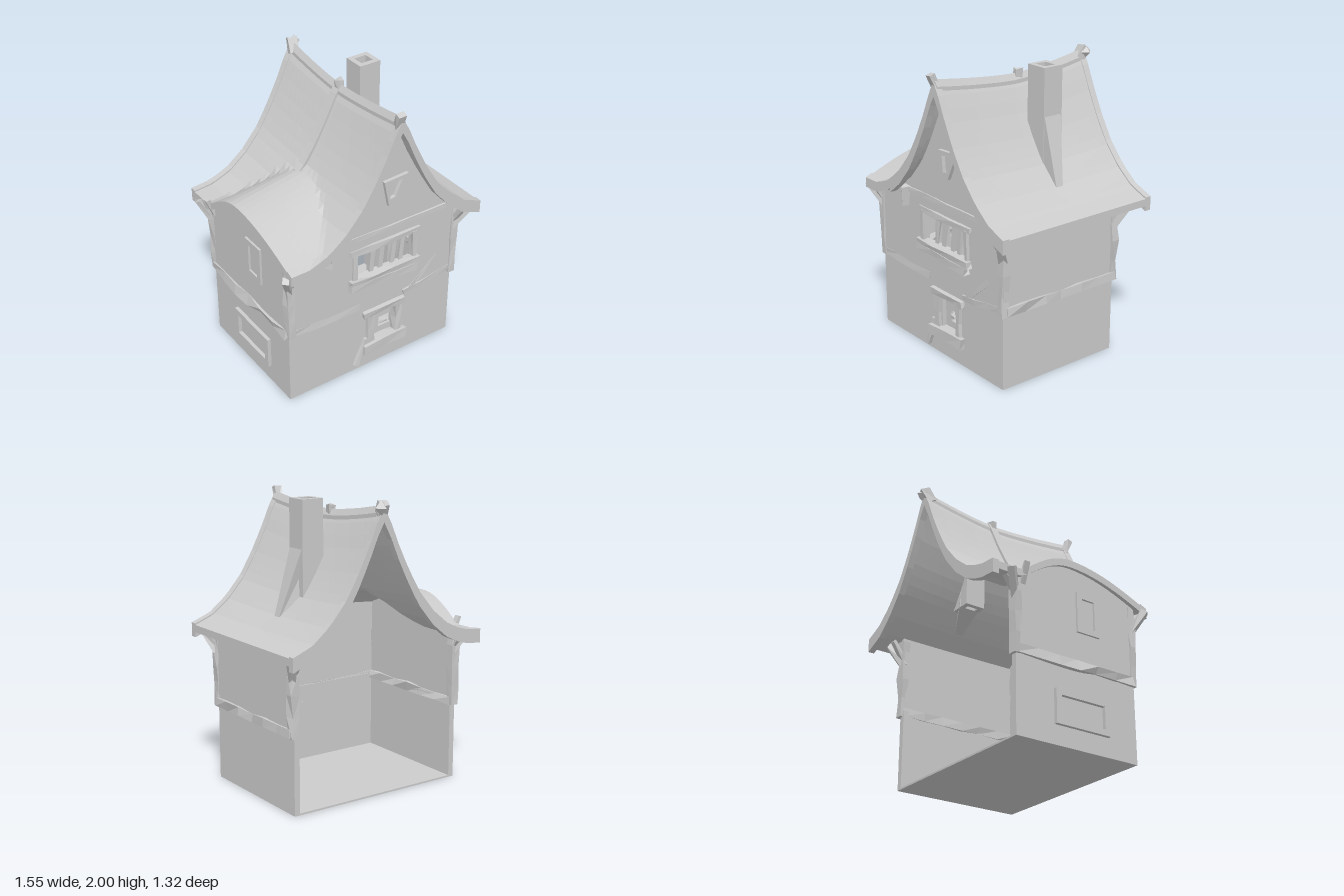
import * as THREE from 'three';

const material = new THREE.MeshStandardMaterial({ color: 0xcccccc, flatShading: true });
const { lerp } = THREE.MathUtils;
const RIDGE = 0.09;

// Half cross-section of the swept roof: distance from ridge, height
const profile = [[0, 1.95], [0.05, 1.86], [0.11, 1.72], [0.2, 1.54], [0.29, 1.39],
  [0.41, 1.25], [0.54, 1.145], [0.68, 1.09], [0.83, 1.075]];

function mainRoofY(x, z) {
  const d = Math.abs(x - RIDGE);
  let i = 1;
  while (i < profile.length - 1 && profile[i][0] < d) i++;
  const [d0, y0] = profile[i - 1], [d1, y1] = profile[i];
  const y = lerp(y0, y1, (d - d0) / (d1 - d0));
  const ridge = 1.865 + (z > 0 ? 0.06 : 0.085) * Math.pow(Math.abs(z) / 0.62, 1.5);
  return 1.09 + (y - 1.09) * (ridge - 1.09) / 0.86;
}

// Roof height with the rounded dormer swelling out of the -x slope
function roofY(x, z) {
  const main = mainRoofY(x, z);
  const t = z > 0 ? z / 0.66 : z / -0.37;
  if (x > -0.1 || t > 1) return main;
  const rise = 0.18 + 0.09 * (x + 0.73) / 0.48;
  return Math.max(main, 1.08 + rise * Math.cos(t * Math.PI / 2));
}

function add(parent, name, geometry) {
  const mesh = new THREE.Mesh(geometry, material);
  mesh.name = name;
  parent.add(mesh);
  return mesh;
}

// Move every vertex of a geometry by a rule
function warp(geometry, rule) {
  const p = geometry.attributes.position;
  const v = new THREE.Vector3();
  for (let i = 0; i < p.count; i++) {
    rule(v.fromBufferAttribute(p, i));
    p.setXYZ(i, v.x, v.y, v.z);
  }
  geometry.computeVertexNormals();
  return geometry;
}

// Repeatable wobble for hewn timber
const wobble = (v, k) => {
  const s = Math.sin(v.x * 91.7 + v.y * 47.3 + v.z * 71.9) * 437.5;
  return (s - Math.floor(s) - 0.5) * k;
};

// Rough timber between two points
function beam(parent, name, a, b, w, h = w) {
  const from = new THREE.Vector3(...a), to = new THREE.Vector3(...b);
  const length = from.distanceTo(to);
  const geometry = new THREE.BoxGeometry(w, h, length, 1, 1, Math.max(1, Math.round(length / 0.16)));
  const holder = new THREE.Object3D();
  holder.position.copy(from).lerp(to, 0.5);
  holder.lookAt(to);
  holder.updateMatrix();
  geometry.applyMatrix4(holder.matrix);
  warp(geometry, (v) => {
    const k = wobble(v, w * 0.45);
    v.x += k; v.y = Math.max(0, v.y + k * 0.7); v.z -= k * 0.4;
  });
  return add(parent, name, geometry);
}

const rect = (x0, y0, x1, y1) => [[x0, y0], [x1, y0], [x1, y1], [x0, y1]];
const toPoints = (list) => list.map(([x, y]) => new THREE.Vector2(x, y));

function panel(points, holes, depth) {
  const shape = new THREE.Shape(toPoints(points));
  holes.forEach((h) => shape.holes.push(new THREE.Path(toPoints(h))));
  return new THREE.ExtrudeGeometry(shape, { depth, bevelEnabled: false });
}

// Wall outline with its top following the underside of the roof
function underRoof(a, b, bottom, height, steps = 24) {
  const points = [[a, bottom], [b, bottom]];
  for (let i = steps; i >= 0; i--) {
    const t = lerp(a, b, i / steps);
    points.push([t, height(t) - 0.035]);
  }
  return points;
}

// Strip that follows the roof, between two x and two z positions
function roofStrip(parent, name, x0, x1, z0, z1, up, down, height = roofY, nx = 28, nz = 1) {
  const mid = x0 < RIDGE && x1 > RIDGE;
  const geometry = new THREE.BoxGeometry(1, 1, 1, nx, 1, nz);
  return add(parent, name, warp(geometry, (v) => {
    const u = v.x + 0.5;
    v.x = !mid ? lerp(x0, x1, u) : u < 0.5 ? lerp(x0, RIDGE, u * 2) : lerp(RIDGE, x1, u * 2 - 1);
    v.z = lerp(z0, z1, v.z + 0.5);
    v.y = height(v.x, v.z) + (v.y > 0 ? up : -down);
  }));
}

// Four timbers around an opening on the front wall
function frontFrame(parent, name, x0, y0, x1, y1, z, w) {
  const frame = new THREE.Group();
  frame.name = name;
  beam(frame, 'leftPost', [x1, y0, z], [x1, y1, z], w);
  beam(frame, 'rightPost', [x0, y0, z], [x0, y1, z], w);
  beam(frame, 'lintel', [x0 - w, y1, z], [x1 + w, y1, z], w);
  beam(frame, 'sill', [x0 - w, y0, z + 0.01], [x1 + w, y0, z + 0.01], w * 1.4, w * 1.3);
  parent.add(frame);
}

export function createModel() {
  const house = new THREE.Group();
  house.name = 'house';

  // Floor
  add(house, 'floor', new THREE.BoxGeometry(1.3, 0.012, 0.93)).position.set(-0.03, 0.006, 0.06);

  // Front wall: lower storey, upper storey with gable
  add(house, 'lowerFrontWall', panel(rect(-0.69, 0, 0.635, 0.56), [rect(-0.01, 0.18, 0.17, 0.43)], 0.04))
    .position.z = 0.49;
  const gable = underRoof(-0.69, 0.655, 0.54, (x) => roofY(x, 0.53), 40);
  add(house, 'upperFrontWall', panel(gable, [rect(-0.18, 0.78, 0.28, 1.0)], 0.04)).position.z = 0.5;

  // Side walls
  const side = (name, x, points) => {
    const geometry = panel(points, [], 0.04);
    geometry.rotateY(-Math.PI / 2);
    add(house, name, geometry).position.x = x;
  };
  side('lowerLeftWall', 0.635, rect(-0.405, 0, 0.52, 0.56));
  side('upperLeftWall', 0.65, underRoof(-0.415, 0.53, 0.53, (z) => roofY(0.65, z)));
  side('lowerRightWall', -0.65, rect(-0.405, 0, 0.52, 0.56));
  side('upperRightWall', -0.66, underRoof(-0.415, 0.53, 0.53, (z) => roofY(-0.69, z)));

  // Roof slab, bargeboards, ridge and the raised seam down the -x slope
  roofStrip(house, 'roof', -0.73, 0.77, -0.6, 0.63, 0, 0.05, roofY, 36, 24);
  roofStrip(house, 'frontBargeboard', -0.43, 0.77, 0.59, 0.64, 0.01, 0.085, mainRoofY);
  roofStrip(house, 'backBargeboard', -0.73, 0.77, -0.605, -0.56, 0.01, 0.085, mainRoofY);
  roofStrip(house, 'frontEaveBoard', -0.73, -0.4, 0.59, 0.64, 0.01, 0.06, roofY, 5);
  roofStrip(house, 'roofSeam', -0.25, RIDGE, -0.07, -0.01, 0.035, 0.02, mainRoofY, 8);
  roofStrip(house, 'ridgeCap', 0.065, 0.115, -0.6, 0.63, 0.025, 0.05, mainRoofY, 2, 10);
  beam(house, 'frontFinial', [0.08, 1.88, 0.6], [0.07, 1.98, 0.645], 0.045);
  beam(house, 'backFinial', [0.09, 1.9, -0.56], [0.1, 1.985, -0.61], 0.06);
  add(house, 'backKnob', new THREE.OctahedronGeometry(0.05)).position.set(0.11, 1.95, -0.6);
  beam(house, 'seamFinial', [0.09, 1.85, -0.03], [0.09, 1.92, -0.03], 0.045);

  // Hollow chimney with a flared foot on the slope
  const chimney = new THREE.Group();
  chimney.name = 'chimney';
  const stack = panel(rect(0.23, 0, 0.39, 0.15), [rect(0.265, 0.035, 0.355, 0.115)], 0.68);
  stack.rotateX(-Math.PI / 2);
  add(chimney, 'stack', stack).position.y = 1.3;
  const foot = new THREE.BoxGeometry(1, 1, 1);
  add(chimney, 'foot', warp(foot, (v) => {
    const top = v.y > 0, outer = v.x > 0;
    v.x = outer ? (top ? 0.392 : 0.53) : 0.3;
    v.y = top ? 1.66 : outer ? 1.17 : 1.3;
    v.z = v.z > 0 ? -0.005 : top ? -0.14 : outer ? -0.05 : -0.16;
  }));
  house.add(chimney);

  // Front upper window with mullions and a deep sill
  frontFrame(house, 'upperWindowFrame', -0.19, 0.77, 0.29, 1.0, 0.54, 0.04);
  for (const x of [-0.04, 0.03, 0.13, 0.2])
    beam(house, 'mullion', [x - 0.01, 0.77, 0.52], [x + 0.01, 1.0, 0.52], 0.035);
  beam(house, 'windowSill', [-0.24, 0.735, 0.55], [0.31, 0.725, 0.55], 0.06, 0.05);

  // Front lower opening, with a recessed panel pierced by a small hole
  frontFrame(house, 'lowerOpeningFrame', -0.05, 0.17, 0.18, 0.45, 0.525, 0.055);
  add(house, 'recessedPanel', panel(rect(-0.03, 0.17, 0.18, 0.44), [rect(0.05, 0.26, 0.15, 0.34)], 0.015))
    .position.z = 0.485;
  beam(house, 'latch', [0.04, 0.3, 0.495], [0.11, 0.305, 0.51], 0.02);
  beam(house, 'step', [-0.16, 0.04, 0.53], [-0.08, 0.24, 0.53], 0.045);

  // Gable niche
  const niche = [[0.06, 1.28], [0.12, 1.29], [0.21, 1.48], [0.02, 1.47]];
  const inner = [[0.07, 1.33], [0.11, 1.34], [0.16, 1.45], [0.06, 1.44]];
  add(house, 'gableNiche', panel(niche, [inner], 0.03)).position.z = 0.535;

  // Timber framing: corner posts, storey belts, wall plates, braces
  for (const [x, z] of [[0.635, 0.525], [-0.68, 0.525], [0.635, -0.395], [-0.68, -0.395]]) {
    beam(house, 'cornerPost', [x, 0.52, z], [x, 1.08, z], 0.055);
    const sx = Math.sign(x), sz = Math.sign(z);
    beam(house, 'eaveBracket', [x, 0.9, z], [x + sx * 0.07, 1.06, z + sz * 0.08], 0.045);
    beam(house, 'eaveBrace', [x, 0.93, z], [x, 1.07, z + sz * 0.09], 0.035);
  }
  for (const x of [0.63, -0.68])
    beam(house, 'sideBelt', [x, 0.55, -0.4], [x, 0.55, 0.52], 0.07, 0.06);
  beam(house, 'frontBeltRight', [-0.69, 0.555, 0.52], [-0.14, 0.54, 0.52], 0.045);
  beam(house, 'frontBeltLeft', [0.22, 0.5, 0.52], [0.64, 0.56, 0.52], 0.045);
  beam(house, 'frontBrace', [0.28, 0.52, 0.525], [0.5, 0.71, 0.525], 0.035);
  beam(house, 'frontPost', [-0.39, 0.98, 0.54], [-0.37, 1.12, 0.55], 0.05);
  beam(house, 'frontTie', [-0.36, 1.1, 0.535], [0.55, 1.1, 0.535], 0.03);
  beam(house, 'dormerSpike', [-0.69, 1.0, -0.36], [-0.75, 1.13, -0.36], 0.035);

  // Framed niches on the -x wall
  for (const [z0, y0, z1, y1, name] of [[0.06, 0.78, 0.24, 1.06, 'sideWindow'], [-0.12, 0.13, 0.3, 0.36, 'sideHatch']]) {
    const frame = panel(rect(z0, y0, z1, y1), [rect(z0 + 0.04, y0 + 0.04, z1 - 0.04, y1 - 0.04)], 0.03);
    frame.rotateY(-Math.PI / 2);
    add(house, name, frame).position.x = -0.685;
  }
  return house;
}
